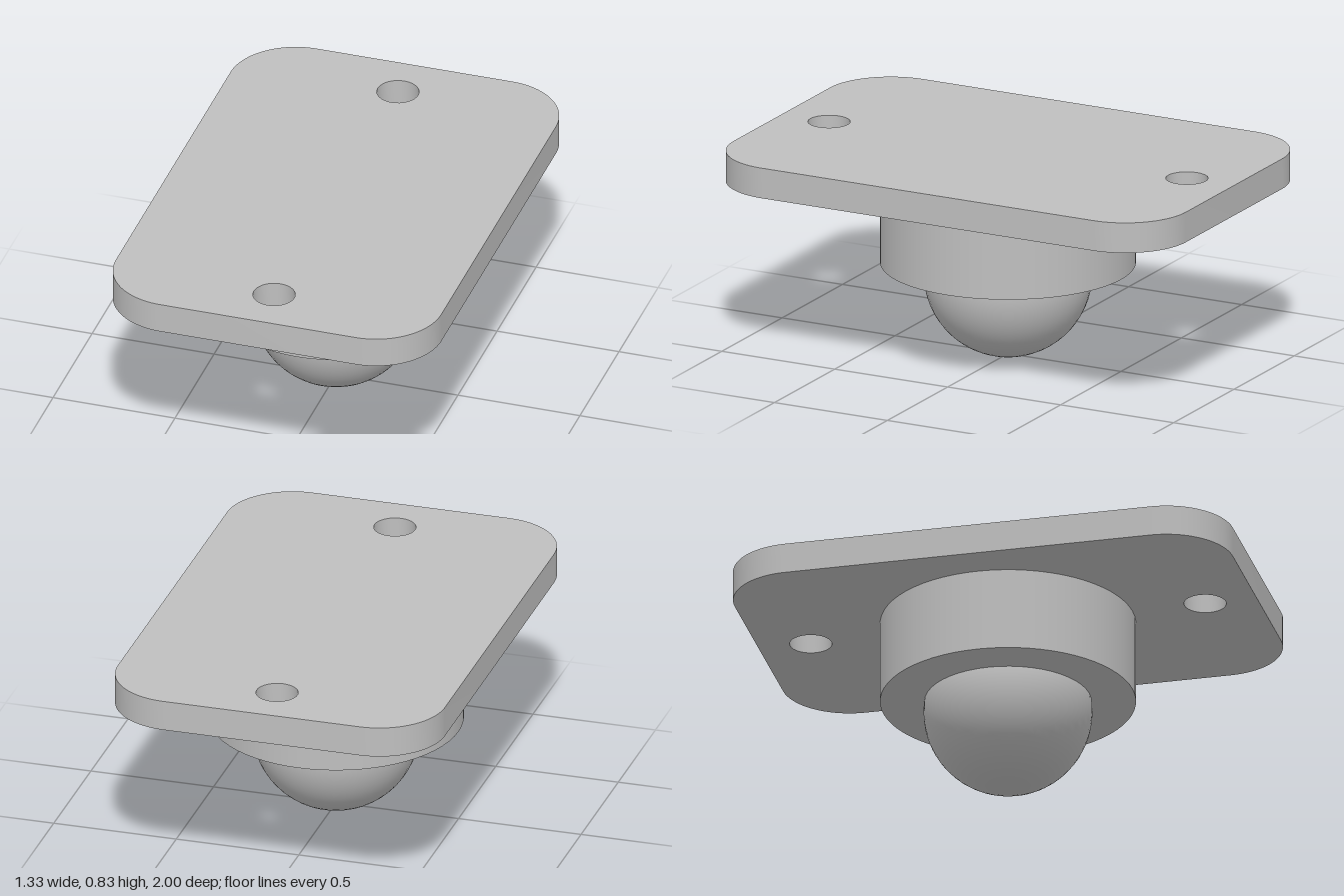
import * as THREE from 'three';
import { toCreasedNormals } from 'three/addons/utils/BufferGeometryUtils.js';

const HALF_W = 0.667, HALF_L = 1, CORNER = 0.267;
const PLATE_BOTTOM = 0.71, PLATE_TOP = 0.833;
const HOUSING_BOTTOM = 0.375, HOUSING_R = 0.5;
const BALL_R = 0.33;
const HOLE_R = 0.083, HOLE_Z = 0.792;

export function createModel() {
  const group = new THREE.Group();
  group.name = 'ballTransferUnit';
  const metal = new THREE.MeshStandardMaterial({ color: 0xbfbfbf });
  metal.name = 'grey metal';

  const add = (name, geometry, y) => {
    const mesh = new THREE.Mesh(geometry, metal);
    mesh.name = name;
    mesh.position.y = y;
    group.add(mesh);
  };

  // Mounting plate: rounded rectangle with a bolt hole near each end
  const outline = new THREE.Shape();
  const cx = HALF_W - CORNER, cz = HALF_L - CORNER;
  [[cx, cz], [-cx, cz], [-cx, -cz], [cx, -cz]].forEach(([x, z], i) => {
    outline.absarc(x, z, CORNER, i * Math.PI / 2, (i + 1) * Math.PI / 2, false);
  });
  outline.closePath();
  for (const z of [-HOLE_Z, HOLE_Z]) {
    const hole = new THREE.Path();
    hole.absarc(0, z, HOLE_R, 0, Math.PI * 2, true);
    outline.holes.push(hole);
  }
  const plate = new THREE.ExtrudeGeometry(outline, {
    depth: PLATE_TOP - PLATE_BOTTOM, bevelEnabled: false, curveSegments: 16,
  });
  plate.rotateX(-Math.PI / 2);
  add('mountingPlate', toCreasedNormals(plate, Math.PI / 5), PLATE_BOTTOM);

  // Cylindrical housing under the plate
  const housingH = PLATE_BOTTOM - HOUSING_BOTTOM;
  add('housing', new THREE.CylinderGeometry(HOUSING_R, HOUSING_R, housingH, 64),
    HOUSING_BOTTOM + housingH / 2);

  // Ball seated in the housing
  add('ball', new THREE.SphereGeometry(BALL_R, 48, 32), BALL_R);

  return group;
}
